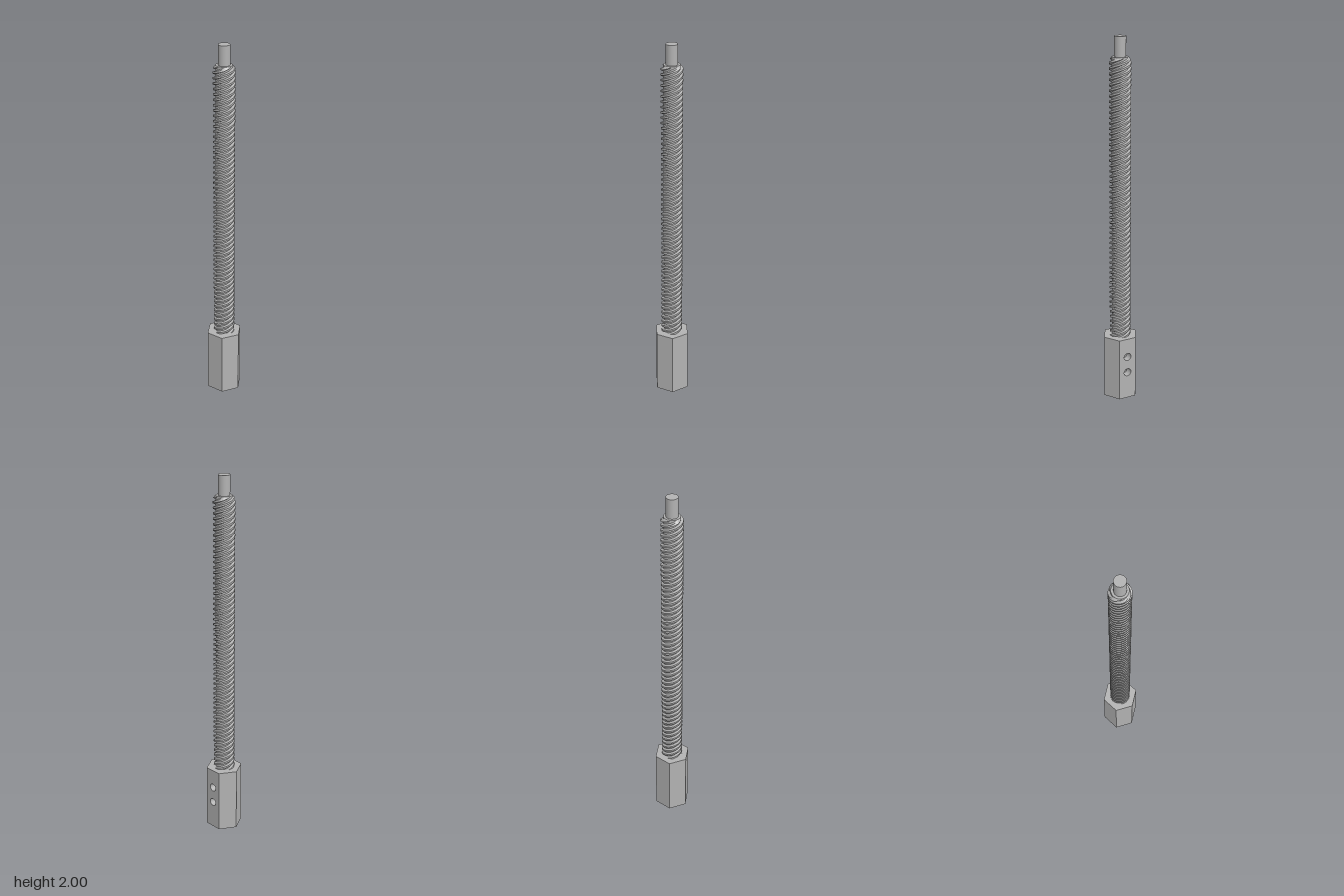
import * as THREE from 'three';
import { toCreasedNormals } from 'three/addons/utils/BufferGeometryUtils.js';

const steel = new THREE.MeshStandardMaterial({ color: 0xb2b2b2, side: THREE.DoubleSide });
steel.name = 'steel';

const HEX_R = 0.099, HEX_H = 0.355, APOTHEM = HEX_R * Math.cos(Math.PI / 6);
const BORE_R = 0.045, BORE_TOP = 0.3;
const HOLE_R = 0.0215, HOLE_Y = [0.155, 0.248];
const OUTER = 0.057, ROOT = 0.044, TOP = 1.895, PITCH = 0.0286, STARTS = 4;

function add(parent, name, geometry, y = 0) {
  const mesh = new THREE.Mesh(geometry, steel);
  mesh.name = name;
  mesh.position.y = y;
  parent.add(mesh);
  return mesh;
}

function circle(x, y, r) {
  return new THREE.Path().absarc(x, y, r, 0, Math.PI * 2, true);
}

// Upright rectangle in XY with the two set-screw holes
function drilledPlate(halfWidth, height) {
  const shape = new THREE.Shape([
    new THREE.Vector2(-halfWidth, 0), new THREE.Vector2(halfWidth, 0),
    new THREE.Vector2(halfWidth, height), new THREE.Vector2(-halfWidth, height),
  ]);
  for (const y of HOLE_Y) shape.holes.push(circle(0, y, HOLE_R));
  return new THREE.ShapeGeometry(shape, 16);
}

function hexShape() {
  const pts = [];
  for (let i = 0; i < 6; i++) {
    const a = i * Math.PI / 3;
    pts.push(new THREE.Vector2(HEX_R * Math.cos(a), HEX_R * Math.sin(a)));
  }
  return new THREE.Shape(pts);
}

// Depth of the bore wall, seen from the drilled face
const boreDepth = (x) => Math.sqrt(BORE_R * BORE_R - x * x);

function createHexCoupling() {
  const g = new THREE.Group();
  g.name = 'hexCoupling';

  // Six flats, the first one drilled
  for (let i = 0; i < 6; i++) {
    const flat = i === 0
      ? drilledPlate(HEX_R / 2, HEX_H)
      : new THREE.PlaneGeometry(HEX_R, HEX_H).translate(0, HEX_H / 2, 0);
    flat.translate(0, 0, APOTHEM).rotateY(i * Math.PI / 3);
    add(g, i === 0 ? 'drilledFlat' : 'flat', flat);
  }

  // End faces
  add(g, 'hexTop', new THREE.ShapeGeometry(hexShape()).rotateX(-Math.PI / 2), HEX_H);
  const bottom = hexShape();
  bottom.holes.push(circle(0, 0, BORE_R));
  add(g, 'hexBottom', new THREE.ShapeGeometry(bottom, 24).rotateX(Math.PI / 2));

  // Blind bore: plain wall, drilled wall section and end
  add(g, 'boreWall', new THREE.CylinderGeometry(BORE_R, BORE_R, BORE_TOP, 40, 1, true,
    Math.PI / 6, Math.PI * 5 / 3), BORE_TOP / 2);
  const patch = drilledPlate(BORE_R / 2, BORE_TOP);
  const p = patch.attributes.position, n = patch.attributes.normal;
  for (let i = 0; i < p.count; i++) {
    const x = p.getX(i), z = boreDepth(x);
    p.setZ(i, z);
    n.setXYZ(i, x / BORE_R, 0, z / BORE_R);
  }
  add(g, 'drilledBoreWall', patch);
  add(g, 'boreEnd', new THREE.CircleGeometry(BORE_R, 48).rotateX(Math.PI / 2), BORE_TOP);

  // Set-screw holes running from the flat to the bore
  for (const y of HOLE_Y) {
    const tube = new THREE.CylinderGeometry(HOLE_R, HOLE_R, 1, 32, 1, true).rotateX(Math.PI / 2);
    const q = tube.attributes.position;
    for (let i = 0; i < q.count; i++) q.setZ(i, q.getZ(i) > 0 ? APOTHEM : boreDepth(q.getX(i)));
    add(g, 'setScrewHole', tube, y);
  }

  g.rotation.y = THREE.MathUtils.degToRad(125.5);
  return g;
}

// Trapezoidal thread section: flank, crest, flank, root, as fractions of the pitch
const BREAKS = [0, 0.14, 0.5, 0.64];
function threadRadius(f) {
  if (f < BREAKS[1]) return THREE.MathUtils.lerp(ROOT, OUTER, f / BREAKS[1]);
  if (f < BREAKS[2]) return OUTER;
  if (f < BREAKS[3]) return THREE.MathUtils.lerp(OUTER, ROOT, (f - BREAKS[2]) / (BREAKS[3] - BREAKS[2]));
  return ROOT;
}

// Right-handed multi-start thread with a chamfered top end
function threadGeometry() {
  const y0 = HEX_H - 0.02, segs = 48, lead = PITCH * STARTS;
  const rows = [];
  const turns = Math.ceil((TOP - y0) / PITCH) + 1;
  for (let k = -STARTS - 1; k < turns; k++) for (const b of BREAKS) rows.push(k + b);
  const point = (i, row) => {
    const t = i / segs, a = t * Math.PI * 2;
    const y = THREE.MathUtils.clamp(y0 + row * PITCH + t * lead, y0, TOP);
    const s = (y - y0 - t * lead) / PITCH + 1e-7;
    const r = Math.min(threadRadius(s - Math.floor(s)), ROOT - 0.001 + (TOP - y) * 0.8);
    return new THREE.Vector3(r * Math.sin(a), y, r * Math.cos(a));
  };
  const pos = [], tri = new THREE.Triangle();
  const face = (a, b, c) => {
    tri.set(a, b, c);
    if (tri.getArea() > 1e-9) for (const v of [a, b, c]) pos.push(v.x, v.y, v.z);
  };
  for (let i = 0; i < segs; i++) {
    for (let j = 0; j < rows.length - 1; j++) {
      const a = point(i, rows[j]), b = point(i + 1, rows[j]);
      const c = point(i + 1, rows[j + 1]), d = point(i, rows[j + 1]);
      face(a, b, c);
      face(a, c, d);
    }
  }
  const geo = new THREE.BufferGeometry();
  geo.setAttribute('position', new THREE.Float32BufferAttribute(pos, 3));
  return toCreasedNormals(geo, Math.PI / 6);
}

export function createModel() {
  const model = new THREE.Group();
  model.name = 'leadScrew';
  model.add(createHexCoupling());
  add(model, 'threadedRod', threadGeometry());
  add(model, 'rodEnd', new THREE.CircleGeometry(ROOT - 0.001, 48).rotateX(-Math.PI / 2), TOP);
  // Plain journal at the top
  add(model, 'journal', new THREE.CylinderGeometry(0.031, 0.031, 2 - TOP, 40), (2 + TOP) / 2);
  return model;
}
